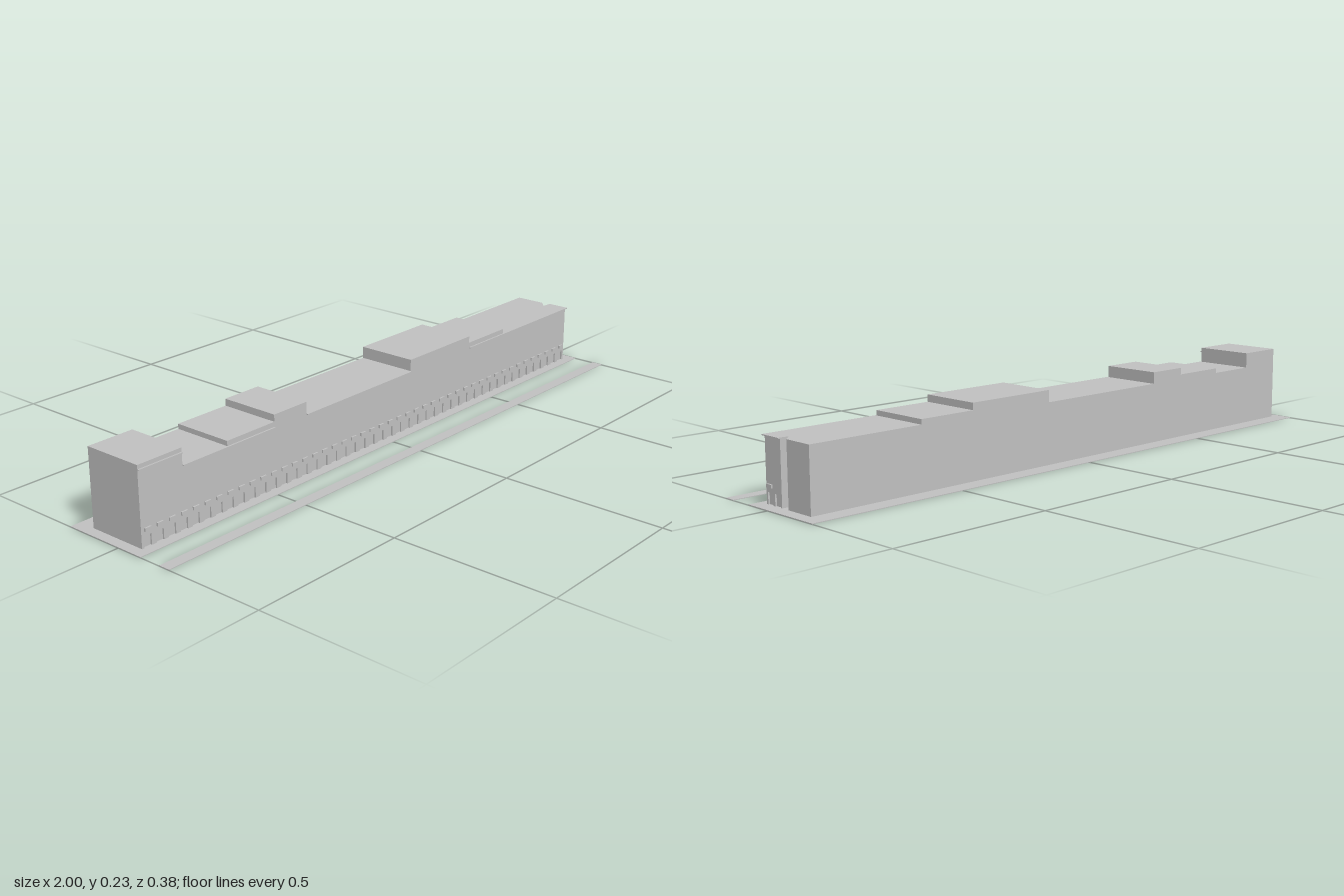
import * as THREE from 'three';

export function createModel() {
  const group = new THREE.Group();
  const grey = new THREE.MeshStandardMaterial({ color: 0xc0c0c0 });
  grey.name = 'plain grey';

  const add = (name, geometry, parent = group) => {
    const mesh = new THREE.Mesh(geometry, grey);
    mesh.name = name;
    parent.add(mesh);
    return mesh;
  };
  // box given by its limits on each axis
  const box = (name, x0, x1, y0, y1, z0, z1, parent) => {
    const mesh = add(name, new THREE.BoxGeometry(x1 - x0, y1 - y0, z1 - z0), parent);
    mesh.position.set((x0 + x1) / 2, (y0 + y1) / 2, (z0 + z1) / 2);
    return mesh;
  };
  const rectHole = (x0, x1, y0, y1) => new THREE.Path([
    new THREE.Vector2(x0, y0), new THREE.Vector2(x1, y0),
    new THREE.Vector2(x1, y1), new THREE.Vector2(x0, y1),
  ]);
  const toShape = pts => new THREE.Shape(pts.map(p => new THREE.Vector2(...p)));
  const extrude = (shape, depth) =>
    new THREE.ExtrudeGeometry(shape, { depth, bevelEnabled: false });

  const BACK = -0.135, FRONT = 0.055, REVEAL = 0.005, END = 0.963;
  const DOOR_LOW = 0.002, DOOR_TOP = 0.035;

  // pavement and far kerb
  box('pavement', -1, 1, 0, 0.002, -0.19, 0.085);
  box('farKerb', -1, 1, 0, 0.002, 0.155, 0.19);

  // terrace blocks: left edge, right edge, height
  const blocks = [
    [-0.968, -0.818, 0.235], [-0.818, -0.657, 0.187], [-0.657, -0.477, 0.202],
    [-0.477, -0.347, 0.223], [-0.347, 0.117, 0.187], [0.117, 0.412, 0.223],
    [0.412, 0.597, 0.202], [0.597, END, 0.187],
  ];
  blocks.slice(0, -1).forEach(([x0, x1, h]) =>
    box('terraceBlock', x0, x1, 0, h, BACK, FRONT - REVEAL));

  // end block with a slanted notch in its side wall
  const [endX, , endH] = blocks[blocks.length - 1];
  const plan = toShape([
    [endX, -(FRONT - REVEAL)], [END - REVEAL, -(FRONT - REVEAL)], [END - REVEAL, 0.012],
    [0.936, 0.014], [END, 0.04], [END, -BACK], [endX, -BACK],
  ]);
  add('endBlock', extrude(plan, endH).rotateX(-Math.PI / 2));

  // street facade following the skyline, with door recesses
  const skyline = [[-0.968, 0]];
  blocks.forEach(([x0, x1, h]) => skyline.push([x0, h], [x1, h]));
  skyline.push([END, 0]);
  const facade = toShape(skyline);
  const awnings = new THREE.Group();
  awnings.name = 'awnings';
  group.add(awnings);
  const doors = 46, pitch = (END + 0.968) / doors;
  for (let i = 0; i < doors; i++) {
    const x = -0.968 + pitch * (i + 0.5);
    facade.holes.push(rectHole(x - 0.0125, x + 0.0125, DOOR_LOW, DOOR_TOP));
    box('awning', x - 0.0105, x + 0.0105, 0.048, 0.058, FRONT, FRONT + 0.005, awnings);
  }
  add('streetFacade', extrude(facade, REVEAL)).position.z = FRONT - REVEAL;

  // side wall at the end, with two door recesses (drawn along -z)
  const side = toShape([[-0.05, 0], [0.012, 0], [0.012, endH], [-0.05, endH]]);
  side.holes.push(rectHole(-0.049, -0.026, DOOR_LOW, DOOR_TOP));
  side.holes.push(rectHole(-0.018, 0.007, DOOR_LOW, DOOR_TOP));
  add('sideFacade', extrude(side, REVEAL).rotateY(Math.PI / 2)).position.x = END - REVEAL;
  box('sideAwning', END, END + 0.005, 0.048, 0.058, 0.028, 0.049, awnings);

  // cornices
  const cornice = (x0, x1, y) => box('cornice', x0, x1, y - 0.003, y, FRONT, FRONT + 0.005);
  blocks.forEach(([x0, x1, h]) => {
    if (h > 0.23) cornice(x0, x1, 0.223);
    else if (h < 0.21) cornice(x0, x1, 0.187);
  });
  box('sideCornice', END, END + 0.006, 0.184, 0.187, -0.012, FRONT + 0.005);

  return group;
}
